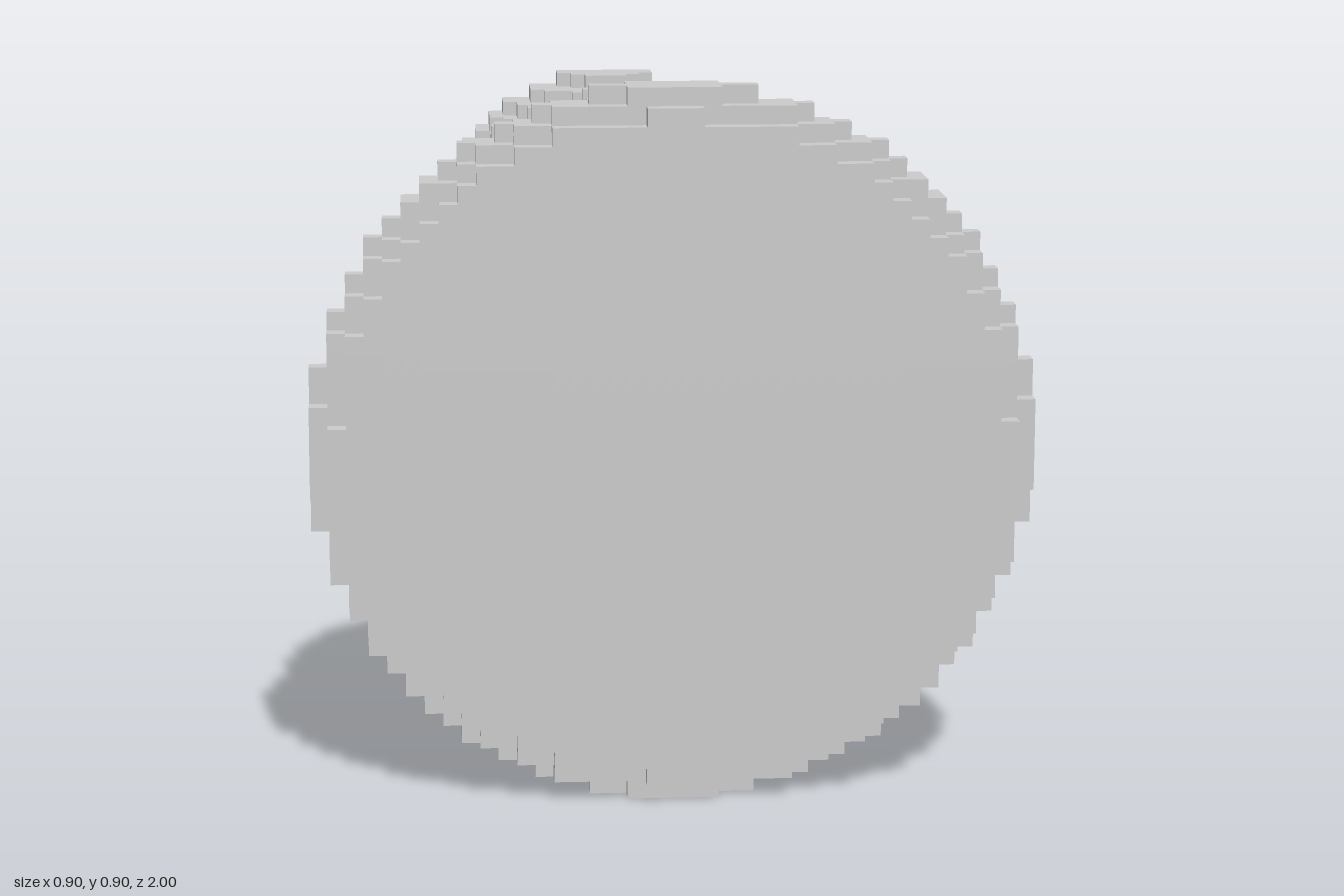
import * as THREE from 'three';

const S = 2 / 87;        // size of one cube
const MID = 19.5 * S;    // height of the long axis

// Radius of each round layer, in cubes, from the foot (z = 1) towards the tip
const foot = [18.06, 19.2, 19.42, 19.2, 18.5, 17.8, 17.5, 17.8, 18.2, 18.5, 18.2, 17.5,
  16.5, 15.5, 14.5, 13.6, 12.95, 12.6, 12.2, 11.3, 9.7];
const stem = [];
for (let k = 21; k < 49; k++) stem.push(Math.max(6.8, 8.75 - (k - 21) * 0.155));
const collar = [7.8, 12.1, 12.4, 12.1, 11.7, 12.1, 11.5, 10, 8.8];
const crown = [9.2, 9.2, 8.7, 8.8, 9.1, 9.4, 9.8, 10.2, 10.6, 11, 11.4, 11.8, 12.1, 12.3, 12.5, 12.5];
const knob = [3.5, 3.5, 3.5, 3.5, 2.6, 2.6];
const radii = [...foot, ...stem, ...collar, ...crown, ...knob];

// Half widths of the flat cross, one cube thick
const cross = [3, 4, 4, 4, 1, 2, 0];

function filled(i, j, k) {
  if (k < 0) return false;
  if (k < radii.length) return i * i + j * j <= radii[k] * radii[k];
  const c = k - radii.length;
  return c < cross.length && j === 0 && Math.abs(i) <= cross[c];
}

// Outward normal and the two edge directions of each cube side (u x v = n)
const sides = [
  [[1, 0, 0], [0, 1, 0], [0, 0, 1]], [[-1, 0, 0], [0, 0, 1], [0, 1, 0]],
  [[0, 1, 0], [0, 0, 1], [1, 0, 0]], [[0, -1, 0], [1, 0, 0], [0, 0, 1]],
  [[0, 0, 1], [1, 0, 0], [0, 1, 0]], [[0, 0, -1], [0, 1, 0], [1, 0, 0]],
];
const corners = [[-1, -1], [1, -1], [1, 1], [-1, -1], [1, 1], [-1, 1]];

// Exposed cube faces of the layers from k0 up to k1
function layersGeometry(k0, k1) {
  const pos = [], nor = [];
  for (let k = k0; k < k1; k++) {
    for (let i = -19; i <= 19; i++) {
      for (let j = -19; j <= 19; j++) {
        if (!filled(i, j, k)) continue;
        const centre = [i * S, MID + j * S, 1 - (k + 0.5) * S];
        for (const [n, u, v] of sides) {
          if (filled(i + n[0], j + n[1], k - n[2])) continue;
          for (const [a, b] of corners) {
            for (let d = 0; d < 3; d++) pos.push(centre[d] + (n[d] + a * u[d] + b * v[d]) * S / 2);
            nor.push(...n);
          }
        }
      }
    }
  }
  const g = new THREE.BufferGeometry();
  g.setAttribute('position', new THREE.Float32BufferAttribute(pos, 3));
  g.setAttribute('normal', new THREE.Float32BufferAttribute(nor, 3));
  return g;
}

export function createModel() {
  const group = new THREE.Group();
  group.name = 'chessKing';
  const material = new THREE.MeshStandardMaterial({ color: 0xcccccc, flatShading: true });
  const parts = { foot, stem, collar, crown, knob, cross };
  let k = 0;
  for (const [name, layers] of Object.entries(parts)) {
    const mesh = new THREE.Mesh(layersGeometry(k, k + layers.length), material);
    mesh.name = name;
    group.add(mesh);
    k += layers.length;
  }
  return group;
}
